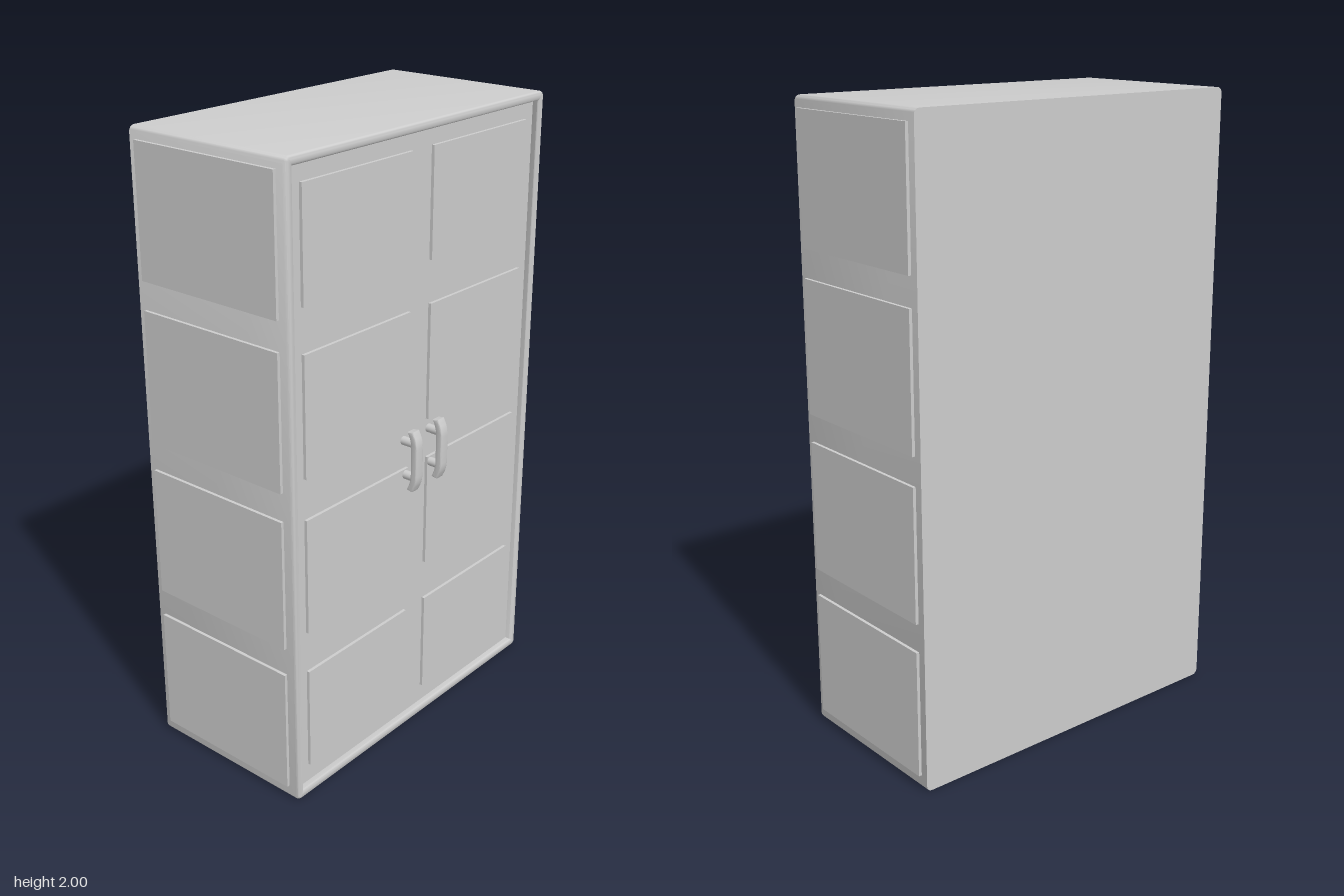
import * as THREE from 'three';
import { toCreasedNormals } from 'three/addons/utils/BufferGeometryUtils.js';

const W = 0.585, BACK = -0.314, FRONT = 0.272, DOOR = 0.25;

// Rounded rectangle outline in the xy plane, counter-clockwise, pulled in by `inset`
function outline(inset) {
  const hx = W - inset, hy = 1 - inset, r = Math.max(0.018 - inset, 0.002), pts = [];
  [[1, 1], [-1, 1], [-1, -1], [1, -1]].forEach(([sx, sy], q) => {
    for (let k = 0; k <= 4; k++) {
      const a = (q + k / 4) * Math.PI / 2;
      pts.push(new THREE.Vector2(sx * (hx - r) + r * Math.cos(a), 1 + sy * (hy - r) + r * Math.sin(a)));
    }
  });
  return pts;
}

// Walls joining successive outlines, each given as [inset, z]
function loft(sections) {
  const pos = [], index = [];
  const n = outline(0).length;
  sections.forEach(([inset, z], i) => {
    outline(inset).forEach((p, j) => {
      pos.push(p.x, p.y, z);
      if (i === sections.length - 1) return;
      const a = i * n + j, b = i * n + (j + 1) % n;
      index.push(a, b, a + n, b, b + n, a + n);
    });
  });
  const g = new THREE.BufferGeometry();
  g.setAttribute('position', new THREE.Float32BufferAttribute(pos, 3));
  g.setIndex(index);
  return toCreasedNormals(g, 0.7);
}

export function createModel() {
  const group = new THREE.Group();
  const material = new THREE.MeshStandardMaterial({ color: 0xcccccc });
  const add = (geometry, name, parent = group) => {
    const mesh = new THREE.Mesh(geometry, material);
    mesh.name = name;
    parent.add(mesh);
    return mesh;
  };
  const slab = (name, x0, x1, y0, y1, z0, z1) =>
    add(new THREE.BoxGeometry(x1 - x0, y1 - y0, z1 - z0), name)
      .position.set((x0 + x1) / 2, (y0 + y1) / 2, (z0 + z1) / 2);

  // Carcass with a softened front rim around the recessed doors
  const sections = [[0, BACK], [0, FRONT - 0.01]];
  for (let k = 1; k <= 4; k++) {
    const a = k / 4 * Math.PI / 2;
    sections.push([0.01 * (1 - Math.cos(a)), FRONT - 0.01 + 0.01 * Math.sin(a)]);
  }
  sections.push([0.02, FRONT], [0.025, FRONT - 0.002], [0.028, FRONT - 0.006], [0.028, DOOR - 0.005]);
  add(loft(sections), 'carcass');
  add(new THREE.ShapeGeometry(new THREE.Shape(outline(0))).rotateY(Math.PI), 'backPanel')
    .position.z = BACK;

  // Door face
  slab('doorFace', -W + 0.026, W - 0.026, 0.026, 1.974, DOOR - 0.02, DOOR);

  // Raised panels on the doors and on the sides
  const doorRows = [[0.09, 0.43], [0.565, 0.94], [1.07, 1.445], [1.58, 1.92]];
  const sideRows = [[0.045, 0.45], [0.54, 0.96], [1.05, 1.47], [1.56, 1.965]];
  for (const s of [-1, 1]) {
    const cx = s * 0.28, sx = s * (W - 0.005);
    for (const [y0, y1] of doorRows)
      slab('doorPanel', cx - 0.232, cx + 0.232, y0, y1, DOOR - 0.01, DOOR + 0.01);
    for (const [y0, y1] of sideRows)
      slab('sidePanel', sx - 0.015, sx + 0.015, y0, y1, -0.288, 0.238);
  }

  // Bowed grip profile (depth, height), extruded across its width
  const grip = new THREE.Shape();
  grip.moveTo(0.283, -0.094);
  grip.lineTo(0.296, -0.096);
  grip.quadraticCurveTo(0.311, -0.07, 0.311, -0.045);
  grip.lineTo(0.311, 0.045);
  grip.quadraticCurveTo(0.311, 0.07, 0.296, 0.096);
  grip.lineTo(0.283, 0.094);
  grip.quadraticCurveTo(0.296, 0.07, 0.296, 0.045);
  grip.lineTo(0.296, -0.045);
  grip.quadraticCurveTo(0.296, -0.07, 0.283, -0.094);
  const gripGeo = toCreasedNormals(new THREE.ExtrudeGeometry(grip, {
    depth: 0.026, curveSegments: 6, bevelSize: 0.004, bevelThickness: 0.004, bevelSegments: 3,
  }).translate(0, 0, -0.013).rotateY(-Math.PI / 2), 0.7);
  const postGeo = new THREE.CylinderGeometry(0.014, 0.014, 0.06, 20).rotateX(Math.PI / 2);

  for (const s of [-1, 1]) {
    const handle = new THREE.Group();
    handle.name = s > 0 ? 'leftHandle' : 'rightHandle';
    handle.position.set(s * 0.062, 0.978, 0);
    add(gripGeo, 'grip', handle);
    for (const y of [-0.056, 0.056]) add(postGeo, 'post', handle).position.set(0, y, 0.272);
    group.add(handle);
  }
  return group;
}
